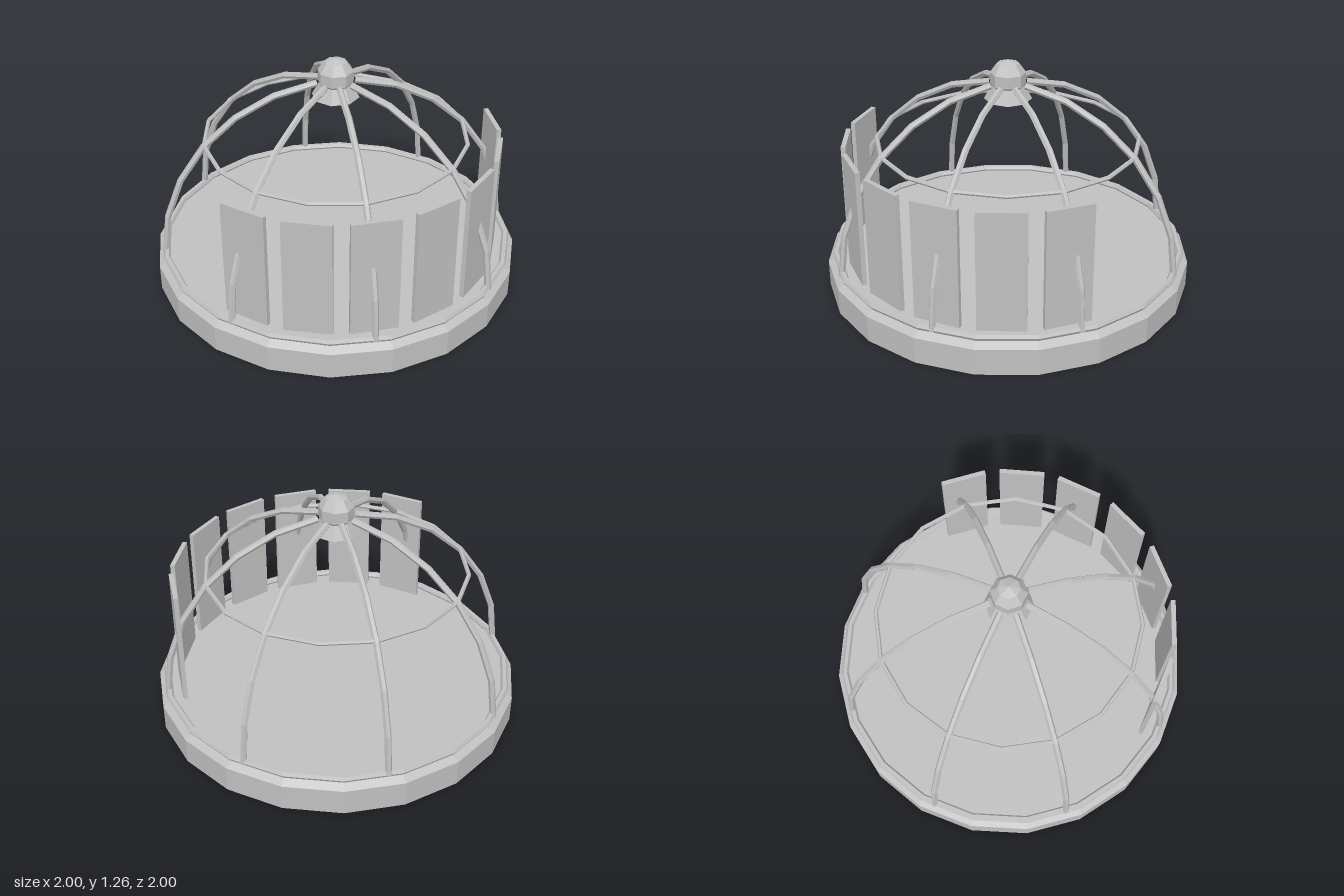
import * as THREE from 'three';

const grey = new THREE.MeshStandardMaterial({ color: 0xc0c0c0, flatShading: true });
grey.name = 'plain grey';

function part(name, geometry, y = 0) {
  const mesh = new THREE.Mesh(geometry, grey);
  mesh.name = name;
  mesh.position.y = y;
  return mesh;
}

// Horizontal hoop with few sides
function hoop(name, radius, tube, sides, y) {
  const geometry = new THREE.TorusGeometry(radius, tube, 6, sides);
  geometry.rotateX(Math.PI / 2);
  return part(name, geometry, y);
}

export function createModel() {
  const model = new THREE.Group();
  model.name = 'domedCage';

  // Round base with a bevelled top edge and raised rim
  model.add(part('base', new THREE.CylinderGeometry(1, 1, 0.145, 20, 1), 0.0725));
  model.add(part('floor', new THREE.CylinderGeometry(0.95, 1, 0.035, 20, 1), 0.1625));
  model.add(hoop('rim', 0.955, 0.02, 20, 0.191));

  // Eight curved ribs, each an arc from the rim to the hub
  const arc = [];
  for (let i = 0; i <= 6; i++) {
    const a = THREE.MathUtils.degToRad(14 * i);
    arc.push(new THREE.Vector3(0, 0.18 + 0.957 * Math.sin(a), 0.953 * Math.cos(a)));
  }
  const ribGeometry = new THREE.TubeGeometry(new THREE.CatmullRomCurve3(arc), 6, 0.018, 6);
  const ribs = new THREE.Group();
  ribs.name = 'ribs';
  for (let i = 0; i < 8; i++) {
    const rib = part('rib', ribGeometry);
    rib.rotation.y = (i + 0.5) * Math.PI / 4;
    ribs.add(rib);
  }
  model.add(ribs);

  // Hoop tying the ribs together
  model.add(hoop('ribHoop', 0.705, 0.012, 16, 0.826));

  // Hub and finial
  model.add(part('hubCollar', new THREE.CylinderGeometry(0.08, 0.127, 0.085, 8), 1.0925));
  model.add(part('finial', new THREE.SphereGeometry(0.1, 8, 5), 1.165));

  // Seven upright panels around the front
  const panels = new THREE.Group();
  panels.name = 'panels';
  for (let i = -3; i <= 3; i++) {
    const a = THREE.MathUtils.degToRad(21.67 * i);
    const panel = part('panel', new THREE.BoxGeometry(0.25, 0.65, 0.025), 0.505);
    panel.position.x = 0.868 * Math.sin(a);
    panel.position.z = 0.868 * Math.cos(a);
    panel.rotation.y = a;
    panels.add(panel);
  }
  model.add(panels);

  return model;
}
